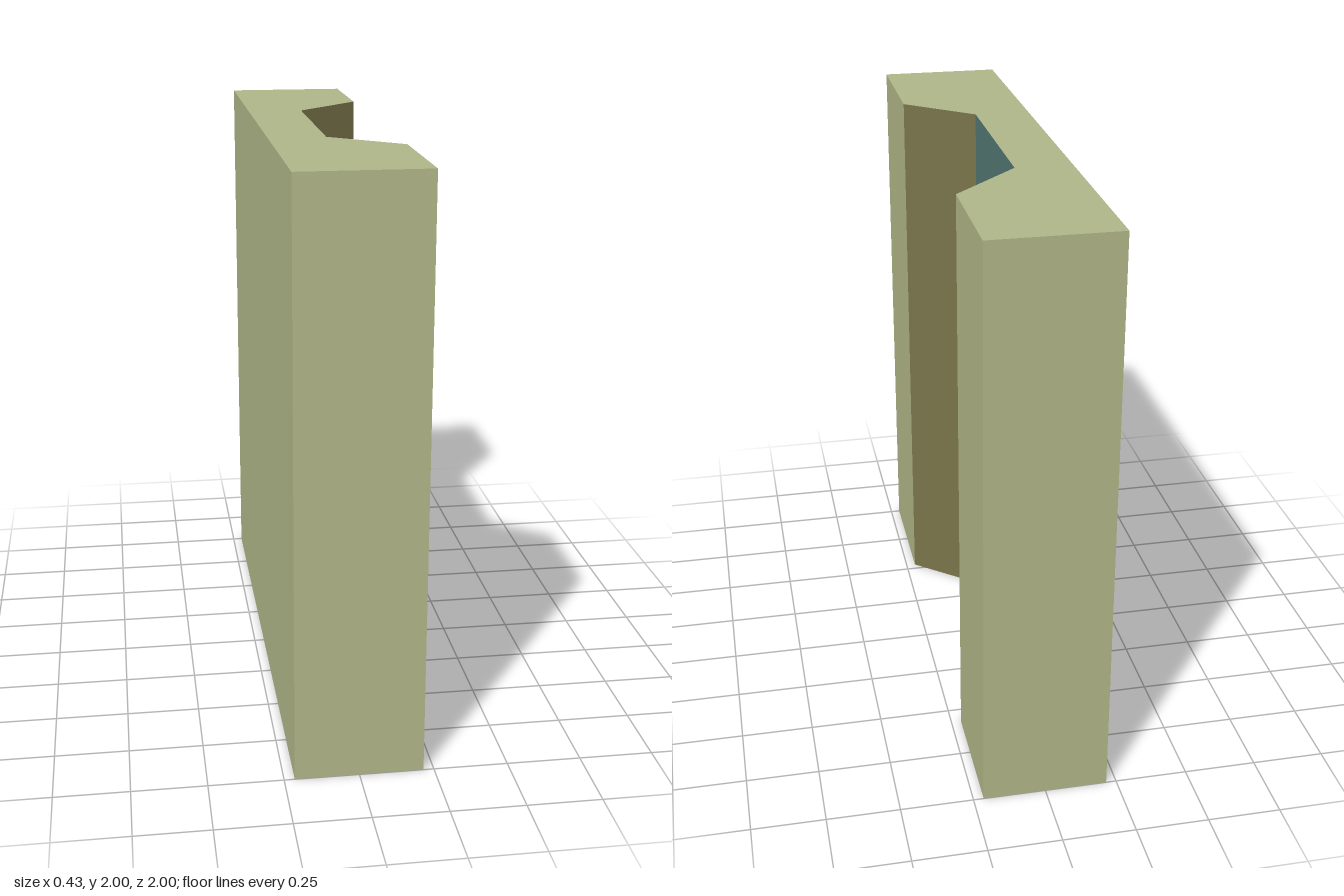
import * as THREE from 'three';

const flat = (name, color) => {
  const m = new THREE.MeshStandardMaterial({ color });
  m.name = name;
  return m;
};

export function createModel() {
  const HEIGHT = 2;
  const stone = flat('pale olive', 0xafb587);
  const slope = flat('dark khaki', 0x78744a);
  const recess = flat('muted teal', 0x517672);

  // Floor plan corners, anticlockwise from above: x, z, then the wall that starts there
  const plan = [
    [-0.215, 1, 'frontWall', stone],
    [0.215, 1, 'frontPierFace', stone],
    [0.215, 0.53, 'frontSlope', slope],
    [-0.02, 0.335, 'recessPanel', recess],
    [-0.02, -0.335, 'backSlope', slope],
    [0.215, -0.57, 'backPierFace', stone],
    [0.215, -1, 'backWall', stone],
    [-0.215, -1, 'plainSideWall', stone],
  ];

  const model = new THREE.Group();
  model.name = 'recessedWallBlock';
  const add = (name, geometry, material) => {
    const mesh = new THREE.Mesh(geometry, material);
    mesh.name = name;
    model.add(mesh);
  };

  // Upright walls, one per side of the plan
  plan.forEach(([x, z, name, material], i) => {
    const [nx, nz] = plan[(i + 1) % plan.length];
    const wall = new THREE.PlaneGeometry(Math.hypot(nx - x, nz - z), HEIGHT);
    wall.rotateY(Math.atan2(z - nz, nx - x));
    wall.translate((x + nx) / 2, HEIGHT / 2, (z + nz) / 2);
    add(name, wall, material);
  });

  // Top and underside share the plan; the underside is mirrored to face down
  const outline = (sign) =>
    new THREE.Shape(plan.map(([x, z]) => new THREE.Vector2(x, sign * z)));
  add('top', new THREE.ShapeGeometry(outline(-1)).rotateX(-Math.PI / 2).translate(0, HEIGHT, 0), stone);
  add('underside', new THREE.ShapeGeometry(outline(1)).rotateX(Math.PI / 2), stone);

  return model;
}
